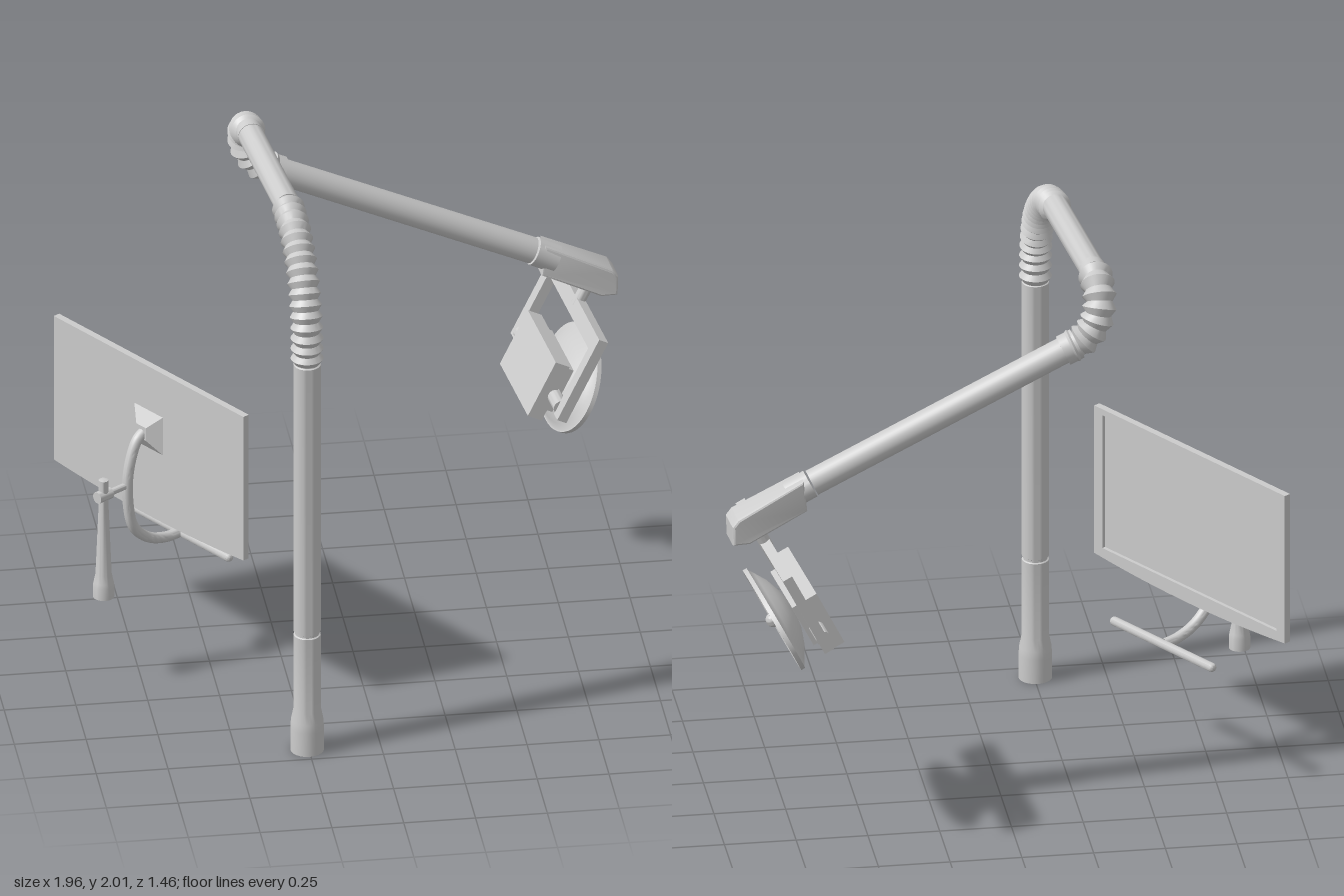
import * as THREE from 'three';
import { toCreasedNormals } from 'three/addons/utils/BufferGeometryUtils.js';

const grey = new THREE.MeshStandardMaterial({ color: 0xcccccc, side: THREE.DoubleSide });
const V = (x, y, z) => new THREE.Vector3(x, y, z);
const UP = V(0, 1, 0);

function add(parent, name, geometry, crease = 0.6) {
  const mesh = new THREE.Mesh(toCreasedNormals(geometry, crease), grey);
  mesh.name = name;
  parent.add(mesh);
  return mesh;
}

// Turned part given as [radius, height] pairs
function turned(parent, name, profile, sides = 32) {
  return add(parent, name, new THREE.LatheGeometry(profile.map(p => new THREE.Vector2(...p)), sides));
}

// Cylinder from point a to point b
function rod(parent, name, a, b, ra, rb = ra, sides = 28) {
  const d = b.clone().sub(a);
  const mesh = add(parent, name, new THREE.CylinderGeometry(rb, ra, d.length(), sides));
  mesh.position.copy(a).addScaledVector(d, 0.5);
  mesh.quaternion.setFromUnitVectors(UP, d.normalize());
  return mesh;
}

function box(parent, name, w, h, d, x, y, z) {
  const mesh = add(parent, name, new THREE.BoxGeometry(w, h, d));
  mesh.position.set(x, y, z);
  return mesh;
}

// Ribbed flexible sleeve: a tube whose rings alternate between two radii
function bellows(parent, name, points, ribs, inner, outer) {
  const curve = new THREE.CatmullRomCurve3(points);
  const rings = ribs * 2, sides = 28;
  const geo = new THREE.TubeGeometry(curve, rings, 1, sides);
  const pos = geo.attributes.position, v = V(0, 0, 0);
  for (let i = 0; i <= rings; i++) {
    const c = curve.getPointAt(i / rings), r = i % 2 ? outer : inner;
    for (let j = 0; j <= sides; j++) {
      const k = i * (sides + 1) + j;
      v.fromBufferAttribute(pos, k).sub(c).multiplyScalar(r).add(c);
      pos.setXYZ(k, v.x, v.y, v.z);
    }
  }
  return add(parent, name, geo, 0.5);
}

function buildArm(parent) {
  // Upright post with a flared foot and a seam groove
  const post = turned(parent, 'post', [
    [0, 0], [0.058, 0], [0.058, 0.09], [0.056, 0.12], [0.048, 0.16], [0.047, 0.452], [0.042, 0.455],
    [0.042, 0.464], [0.047, 0.467], [0.047, 1.51], [0.042, 1.513], [0.042, 1.53], [0, 1.53]]);
  post.position.set(-0.255, 0, 0.675);

  bellows(parent, 'shoulderBellows', [
    V(-0.255, 1.515, 0.675), V(-0.256, 1.66, 0.668), V(-0.258, 1.78, 0.62), V(-0.262, 1.86, 0.55),
    V(-0.268, 1.92, 0.46), V(-0.276, 1.953, 0.33)], 16, 0.044, 0.057);
  rod(parent, 'upperArm', V(-0.275, 1.954, 0.34), V(-0.33, 1.954, -0.18), 0.045);
  rod(parent, 'upperCollar', V(-0.329, 1.954, -0.175), V(-0.333, 1.954, -0.215), 0.047);

  bellows(parent, 'elbowBellows', [
    V(-0.333, 1.954, -0.2), V(-0.335, 1.935, -0.265), V(-0.335, 1.88, -0.31), V(-0.315, 1.81, -0.325),
    V(-0.27, 1.755, -0.325), V(-0.22, 1.73, -0.327)], 8, 0.045, 0.06);
  rod(parent, 'lowerCollar', V(-0.255, 1.745, -0.325), V(-0.205, 1.722, -0.329), 0.055);
  rod(parent, 'lowerArm', V(-0.22, 1.73, -0.327), V(0.68, 1.31, -0.395), 0.047);
  rod(parent, 'wristCollar', V(0.685, 1.308, -0.395), V(0.76, 1.27, -0.4), 0.051);

  // Wedge-shaped wrist housing, wider towards its tip
  const outline = [[-0.12, 0.125], [0.105, 0.012], [0.122, -0.01], [0.12, -0.07], [0.07, -0.07], [-0.13, 0.025]];
  const geo = new THREE.ExtrudeGeometry(new THREE.Shape(outline.map(p => new THREE.Vector2(...p))), {
    depth: 0.096, bevelEnabled: true, bevelSize: 0.008, bevelThickness: 0.012, bevelSegments: 2 });
  geo.translate(0, 0, -0.048);
  const pos = geo.attributes.position;
  for (let i = 0; i < pos.count; i++) {
    pos.setZ(i, pos.getZ(i) * THREE.MathUtils.clamp(0.9 + pos.getX(i) * 1.1, 0.75, 1));
  }
  const housing = add(parent, 'wristHousing', geo, 0.5);
  housing.position.set(0.843, 1.205, -0.413);
  housing.rotation.y = 0.08;
}

function buildLamp(parent) {
  const lamp = new THREE.Group();
  lamp.name = 'lamp';
  lamp.position.set(0.835, 1.08, -0.4);
  lamp.rotation.set(0, 0.11, -0.47);
  parent.add(lamp);

  rod(lamp, 'lampPivot', V(0, 0, 0), V(0, 0.08, 0), 0.022);

  // U-shaped bracket
  const u = [[-0.325, 0.03], [0.325, 0.03], [0.325, -0.3], [0.277, -0.3], [0.277, -0.03],
    [-0.277, -0.03], [-0.277, -0.3], [-0.325, -0.3]];
  const uGeo = new THREE.ExtrudeGeometry(new THREE.Shape(u.map(p => new THREE.Vector2(...p))),
    { depth: 0.036, bevelEnabled: false });
  uGeo.translate(0, 0, -0.018);
  uGeo.rotateY(Math.PI / 2);
  add(lamp, 'bracket', uGeo);

  // Side pivots and the rear housing
  for (const s of [-1, 1]) {
    rod(lamp, 'sidePivot', V(-0.005, -0.27, s * 0.18), V(-0.005, -0.27, s * 0.28), 0.026);
  }
  box(lamp, 'rearHousing', 0.055, 0.22, 0.39, -0.035, -0.26, 0);
  box(lamp, 'rearHousingFront', 0.045, 0.17, 0.3, 0.012, -0.26, 0);

  // Elliptical reflector bowl opening towards local +x
  const bowl = turned(lamp, 'reflector', [
    [0, -0.075], [0.35, -0.066], [0.65, -0.045], [0.86, -0.02], [0.97, -0.006], [1, -0.006], [1, 0.01],
    [0.94, 0.01], [0.84, -0.012], [0.63, -0.036], [0.34, -0.056], [0, -0.064]], 64);
  bowl.position.set(0.105, -0.26, 0);
  bowl.scale.set(0.178, 1, 0.257);
  bowl.rotation.z = -Math.PI / 2;

  // Bulb mount, bulb and the crossbar holding it
  box(lamp, 'bulbPlate', 0.02, 0.11, 0.13, 0.055, -0.25, 0);
  rod(lamp, 'bulbStem', V(0.05, -0.26, 0), V(0.11, -0.26, 0), 0.018);
  const bulb = add(lamp, 'bulb', new THREE.SphereGeometry(0.026, 20, 14));
  bulb.position.set(0.11, -0.26, 0);
  for (const s of [-1, 1]) {
    rod(lamp, 'crossbar', V(0.1, -0.262, 0), V(0.102, -0.252, s * 0.243), 0.011, 0.005, 12);
  }
}

function buildMonitor(parent) {
  // Local frame: +z is the screen side, x runs along the width
  const monitor = new THREE.Group();
  monitor.name = 'monitor';
  monitor.position.set(-0.7, 0, -0.02);
  monitor.rotation.y = Math.atan2(0.831, -0.556);
  parent.add(monitor);

  // Bezel with a sagging lower edge and a window for the screen
  const outline = () => {
    const s = new THREE.Shape();
    s.moveTo(-0.49, 0.602);
    s.quadraticCurveTo(0, 0.56, 0.49, 0.602);
    s.lineTo(0.49, 1.165);
    s.lineTo(-0.49, 1.165);
    s.closePath();
    return s;
  };
  const frame = outline();
  frame.holes.push(new THREE.Path([[-0.448, 0.635], [-0.448, 1.142], [0.448, 1.142], [0.448, 0.635]]
    .map(p => new THREE.Vector2(...p))));
  const bezel = { depth: 0.02, bevelEnabled: false, curveSegments: 16 };
  add(monitor, 'bezel', new THREE.ExtrudeGeometry(frame, bezel)).position.z = -0.007;
  add(monitor, 'screenPanel', new THREE.ExtrudeGeometry(outline(), { ...bezel, depth: 0.012 })).position.z = -0.012;

  // Pyramid mount on the back
  const pyramid = new THREE.CylinderGeometry(0.035, 0.105, 0.035, 4);
  pyramid.rotateY(Math.PI / 4);
  pyramid.rotateX(-Math.PI / 2);
  add(monitor, 'backMount', pyramid).position.set(0, 0.92, -0.029);

  // Curved support passing under the screen to the front grip
  const path = new THREE.CatmullRomCurve3([
    V(0, 0.92, -0.03), V(0, 0.895, -0.066), V(0, 0.785, -0.105), V(0, 0.65, -0.105), V(0, 0.56, -0.08),
    V(0, 0.495, -0.01), V(0, 0.468, 0.07), V(0, 0.465, 0.13)]);
  add(monitor, 'supportTube', new THREE.TubeGeometry(path, 48, 0.019, 16));
  rod(monitor, 'gripBar', V(-0.25, 0.465, 0.135), V(0.25, 0.465, 0.135), 0.016);
  for (const s of [-1, 1]) {
    add(monitor, 'gripEnd', new THREE.SphereGeometry(0.016, 16, 10)).position.set(s * 0.25, 0.465, 0.135);
  }

  // Hanging handle behind the screen, joined by a short link
  const handle = turned(monitor, 'handle', [
    [0, 0.34], [0.037, 0.34], [0.037, 0.385], [0.034, 0.4], [0.028, 0.43], [0.017, 0.7], [0.017, 0.795], [0, 0.8]]);
  handle.position.z = -0.22;
  rod(monitor, 'handleLink', V(0, 0.735, -0.245), V(0, 0.735, -0.1), 0.012);
  rod(monitor, 'linkCollar', V(0, 0.735, -0.25), V(0, 0.735, -0.19), 0.021);
}

export function createModel() {
  const model = new THREE.Group();
  model.name = 'deskLampAndMonitor';
  buildArm(model);
  buildLamp(model);
  buildMonitor(model);
  return model;
}
